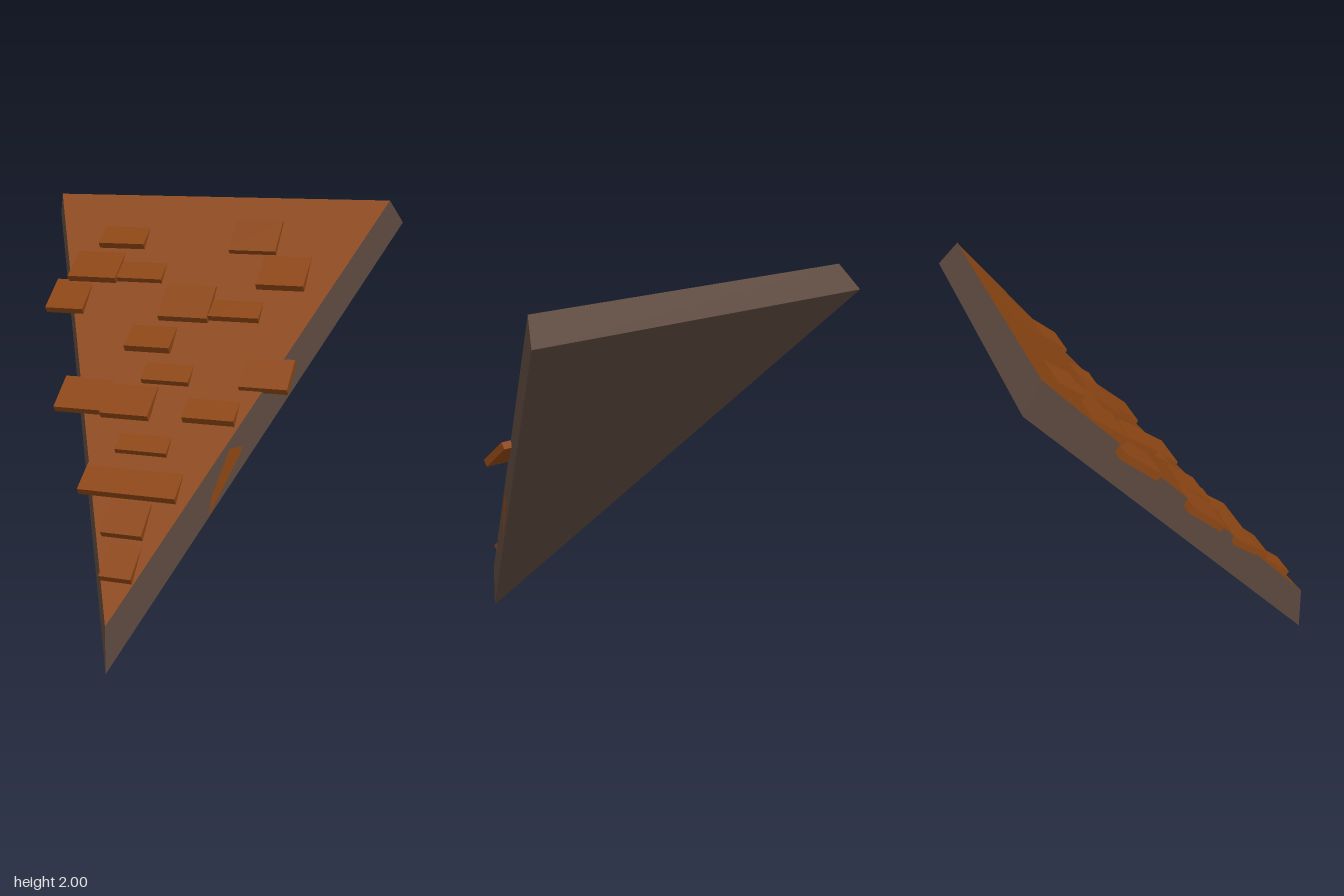
import * as THREE from 'three';

export function createModel() {
  const group = new THREE.Group();
  const shingleBrown = new THREE.MeshStandardMaterial({ color: 0x8b4513 });
  const darkTimber = new THREE.MeshStandardMaterial({ color: 0x5d4a3f });

  function addFaces(name, material, triangles) {
    const geometry = new THREE.BufferGeometry();
    geometry.setAttribute('position', new THREE.Float32BufferAttribute(triangles.flat(2), 3));
    geometry.computeVertexNormals();
    const mesh = new THREE.Mesh(geometry, material);
    mesh.name = name;
    group.add(mesh);
  }
  const quad = (a, b, c, d) => [[a, b, c], [a, c, d]];

  // Sloping triangular slab: upper face corners, then underside corners
  const tip = [0, 0.224, 0.817], right = [0.889, 2, -0.725], left = [-0.889, 2, -0.725];
  const tipB = [0, 0, 0.817], rightB = [0.941, 1.888, -0.815], leftB = [-0.941, 1.888, -0.815];
  addFaces('roofFace', shingleBrown, [[tip, right, left]]);
  addFaces('roofSlab', darkTimber, [
    [tipB, leftB, rightB],
    ...quad(tip, tipB, rightB, right),
    ...quad(tip, left, leftB, tipB),
    ...quad(left, right, rightB, leftB),
  ]);

  // Brown patch lying flush on the left edge of the slab
  const edge = (z, y) => [0.5766 * (0.817 - z) + 0.003, y, z];
  const patch = [[0.3, 0.61], [0.13, 0.88], [0.122, 0.91], [0.19, 0.91], [0.285, 0.7]].map(p => edge(...p));
  addFaces('edgePatch', shingleBrown, [1, 2, 3].map(i => [patch[0], patch[i], patch[i + 1]]));

  // Shingles: x from, x to, lowest y, highest y, front z, back z
  const shingles = [
    [-0.573, -0.325, 1.74, 1.865, -0.48, -0.62],
    [-0.685, -0.422, 1.58, 1.73, -0.33, -0.495],
    [-0.422, -0.18, 1.58, 1.715, -0.35, -0.495],
    [0.135, 0.377, 1.727, 1.895, -0.475, -0.615],
    [0.32, 0.56, 1.58, 1.73, -0.33, -0.49],
    [-0.758, -0.553, 1.43, 1.585, -0.21, -0.37],
    [-0.14, 0.115, 1.42, 1.588, -0.195, -0.35],
    [0.115, 0.37, 1.43, 1.55, -0.215, -0.35],
    [-0.27, -0.035, 1.285, 1.415, -0.07, -0.23],
    [-0.14, 0.1, 1.145, 1.27, 0.03, -0.11],
    [0.35, 0.587, 1.143, 1.288, 0.03, -0.11],
    [-0.545, -0.295, 1.005, 1.157, 0.16, 0.005],
    [-0.295, -0.05, 1.0, 1.14, 0.18, 0.03],
    [0.115, 0.37, 1.005, 1.135, 0.16, 0.005],
    [-0.175, 0.082, 0.855, 0.985, 0.28, 0.13],
    [-0.3, 0.183, 0.69, 0.83, 0.437, 0.275],
    [-0.13, 0.07, 0.54, 0.68, 0.565, 0.43],
    [-0.08, 0.073, 0.383, 0.52, 0.703, 0.56],
  ];
  const thickness = 0.035;
  shingles.forEach(([x0, x1, y0, y1, zf, zb], i) => {
    const yf = y0 + 0.027, rise = y1 - yf, run = zf - zb;
    const angle = Math.atan2(rise, run);
    const mesh = new THREE.Mesh(
      new THREE.BoxGeometry(x1 - x0, thickness, Math.hypot(rise, run)), shingleBrown);
    mesh.rotation.x = angle;
    mesh.position.set((x0 + x1) / 2,
      (yf + y1) / 2 - Math.cos(angle) * thickness / 2,
      (zf + zb) / 2 - Math.sin(angle) * thickness / 2);
    mesh.name = `shingle${i + 1}`;
    group.add(mesh);
  });
  return group;
}
